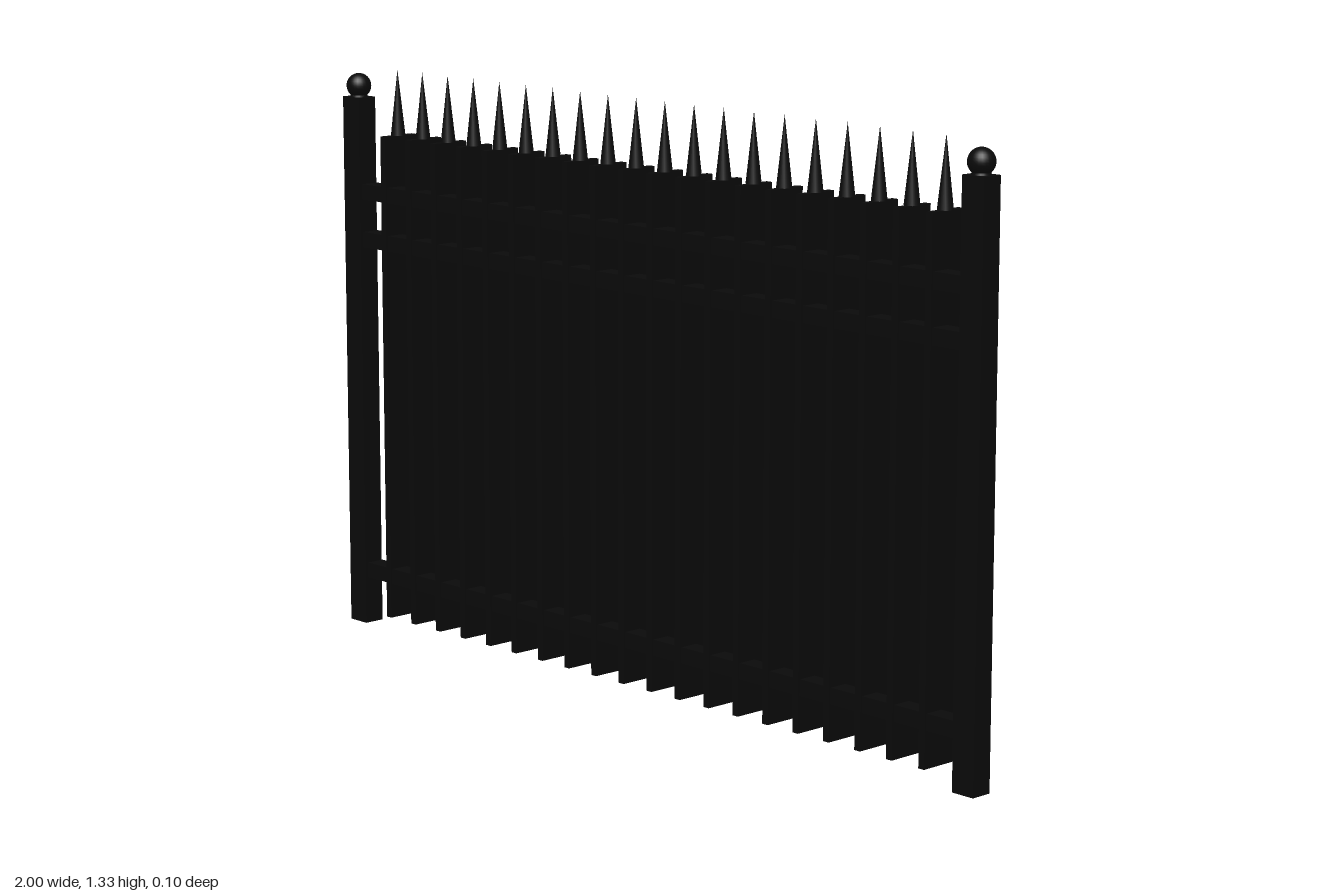
import * as THREE from 'three';

export function createModel() {
  const fence = new THREE.Group();
  fence.name = 'fencePanel';
  const paint = new THREE.MeshStandardMaterial({ color: 0x0a0a0a });

  const add = (name, geometry, x, y, z) => {
    const mesh = new THREE.Mesh(geometry, paint);
    mesh.name = name;
    mesh.position.set(x, y, z);
    fence.add(mesh);
  };

  // End posts with ball caps
  const post = new THREE.BoxGeometry(0.057, 1.26, 0.05);
  const neck = new THREE.CylinderGeometry(0.018, 0.022, 0.014, 20);
  const ball = new THREE.SphereGeometry(0.029, 24, 16);
  for (const side of [-1, 1]) {
    const label = side > 0 ? 'left' : 'right';
    add(label + 'Post', post, side * 0.9715, 0.63, 0.022);
    add(label + 'PostNeck', neck, side * 0.9715, 1.262, 0.022);
    add(label + 'PostBall', ball, side * 0.9715, 1.286, 0.022);
  }

  // Horizontal rails
  const rail = new THREE.BoxGeometry(1.88, 0.036, 0.044);
  add('bottomRail', rail, 0, 0.13, 0.019);
  add('middleRail', rail, 0, 0.927, 0.019);
  add('topRail', rail, 0, 1.04, 0.019);

  // Deep, narrow pickets with pointed finials
  const count = 20;
  const picket = new THREE.BoxGeometry(0.016, 1.147, 0.094);
  const spear = new THREE.ConeGeometry(0.017, 0.153, 16);
  for (let i = 0; i < count; i++) {
    const x = -0.857 + (1.714 * i) / (count - 1);
    add('picket' + (i + 1), picket, x, 0.6035, -0.001);
    add('spearTip' + (i + 1), spear, x, 1.2535, -0.001);
  }
  return fence;
}
